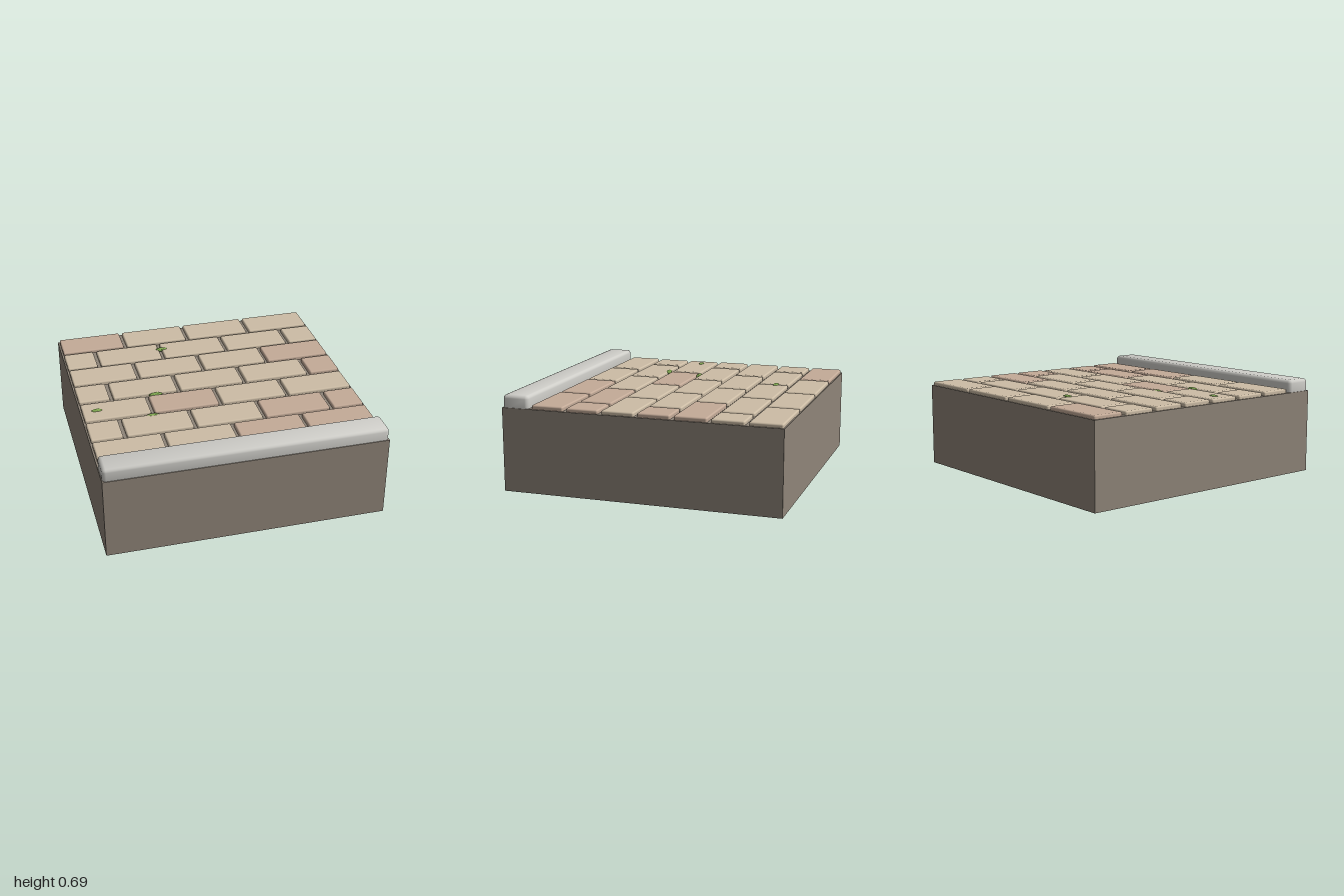
import * as THREE from 'three';
import { RoundedBoxGeometry } from 'three/addons/geometries/RoundedBoxGeometry.js';

const material = (color, flatShading = false) => new THREE.MeshStandardMaterial({ color, flatShading });

export function createModel() {
  const model = new THREE.Group();
  const add = (name, geometry, mat, x, y, z, parent = model) => {
    const mesh = new THREE.Mesh(geometry, mat);
    mesh.name = name;
    mesh.position.set(x, y, z);
    parent.add(mesh);
    return mesh;
  };

  // Ground block
  const ground = 0.6;
  add('groundBlock', new THREE.BoxGeometry(2, ground, 2), material(0x8f8579), 0, ground / 2, 0);

  // Kerb along the front edge, with softly swelling normals
  const kerbSize = [1.99, 0.13, 0.19];
  const kerb = new RoundedBoxGeometry(...kerbSize, 2, 0.025);
  const { position, normal } = kerb.attributes;
  const p = new THREE.Vector3(), n = new THREE.Vector3();
  const half = new THREE.Vector3(...kerbSize).multiplyScalar(0.5);
  for (let i = 0; i < position.count; i++) {
    p.fromBufferAttribute(position, i).divide(half);
    n.fromBufferAttribute(normal, i).addScaledVector(p, 0.25).normalize();
    normal.setXYZ(i, n.x, n.y, n.z);
  }
  add('kerb', kerb, material(0xcfcec9), 0, 0.625, 0.9);

  // Paving in running bond: odd rows begin and end with a half brick
  const paving = new THREE.Group();
  paving.name = 'paving';
  model.add(paving);
  const sand = material(0xcdbda6), clay = material(0xc4ab98);
  const brickHeight = 0.05;
  const fullBrick = new RoundedBoxGeometry(0.475, brickHeight, 0.23, 2, 0.012);
  const halfBrick = new RoundedBoxGeometry(0.225, brickHeight, 0.23, 2, 0.012);
  const clayColumns = [[0], [], [3], [4], [1], [3, 4], [2, 3]];
  const rowTops = [0.627, 0.627, 0.63, 0.63, 0.628, 0.627, 0.63];
  clayColumns.forEach((columns, row) => {
    const centres = row % 2 ? [-0.877, -0.5, 0, 0.5, 0.877] : [-0.75, -0.25, 0.25, 0.75];
    centres.forEach((x, column) => {
      const geometry = Math.abs(x) > 0.8 ? halfBrick : fullBrick;
      const mat = columns.includes(column) ? clay : sand;
      add('brick', geometry, mat, x, rowTops[row] - brickHeight / 2, -0.877 + row * 0.257, paving);
    });
  });

  // Flattened moss tufts: x, y, z, half width, half height, half depth
  const mossShape = new THREE.IcosahedronGeometry(1, 1);
  const moss = material(0x7fa650, true);
  const tufts = [
    [-0.24, 0.622, -0.64, 0.048, 0.015, 0.021],
    [-0.43, 0.618, 0.02, 0.052, 0.016, 0.021],
    [-0.885, 0.624, 0.145, 0.042, 0.014, 0.02],
    [-0.51, 0.617, 0.3, 0.052, 0.016, 0.021],
  ];
  for (const [x, y, z, ...size] of tufts) {
    add('mossTuft', mossShape, moss, x, y, z).scale.set(...size);
  }

  return model;
}
